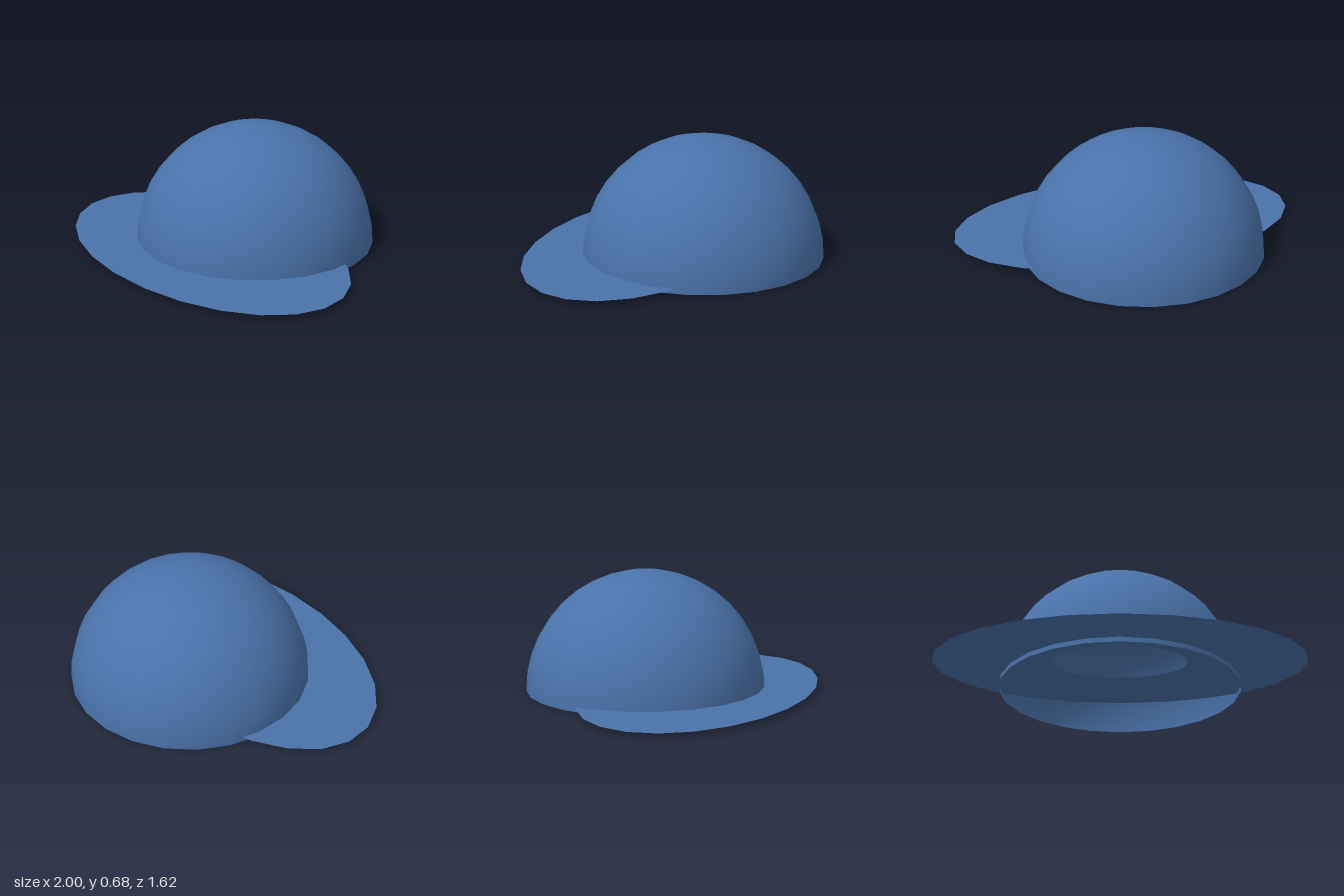
import * as THREE from 'three';

const RADIUS = 0.675;

export function createModel() {
  const group = new THREE.Group();
  const material = new THREE.MeshStandardMaterial({ color: 0x4a72aa, side: THREE.DoubleSide });

  // Open half-sphere crown
  const crown = new THREE.Mesh(
    new THREE.SphereGeometry(RADIUS, 24, 10, 0, Math.PI * 2, 0, Math.PI / 2), material);
  crown.name = 'crown';
  crown.position.z = -0.135;

  // Flat oval brim with an oval hole, just above the crown's rim
  const brimGeometry = new THREE.RingGeometry(0.36, 1, 24);
  brimGeometry.scale(1, 0.6, 1);
  brimGeometry.rotateX(-Math.PI / 2);
  const brim = new THREE.Mesh(brimGeometry, material);
  brim.name = 'brim';
  brim.position.set(0, 0.027, 0.21);

  group.add(crown, brim);
  return group;
}
